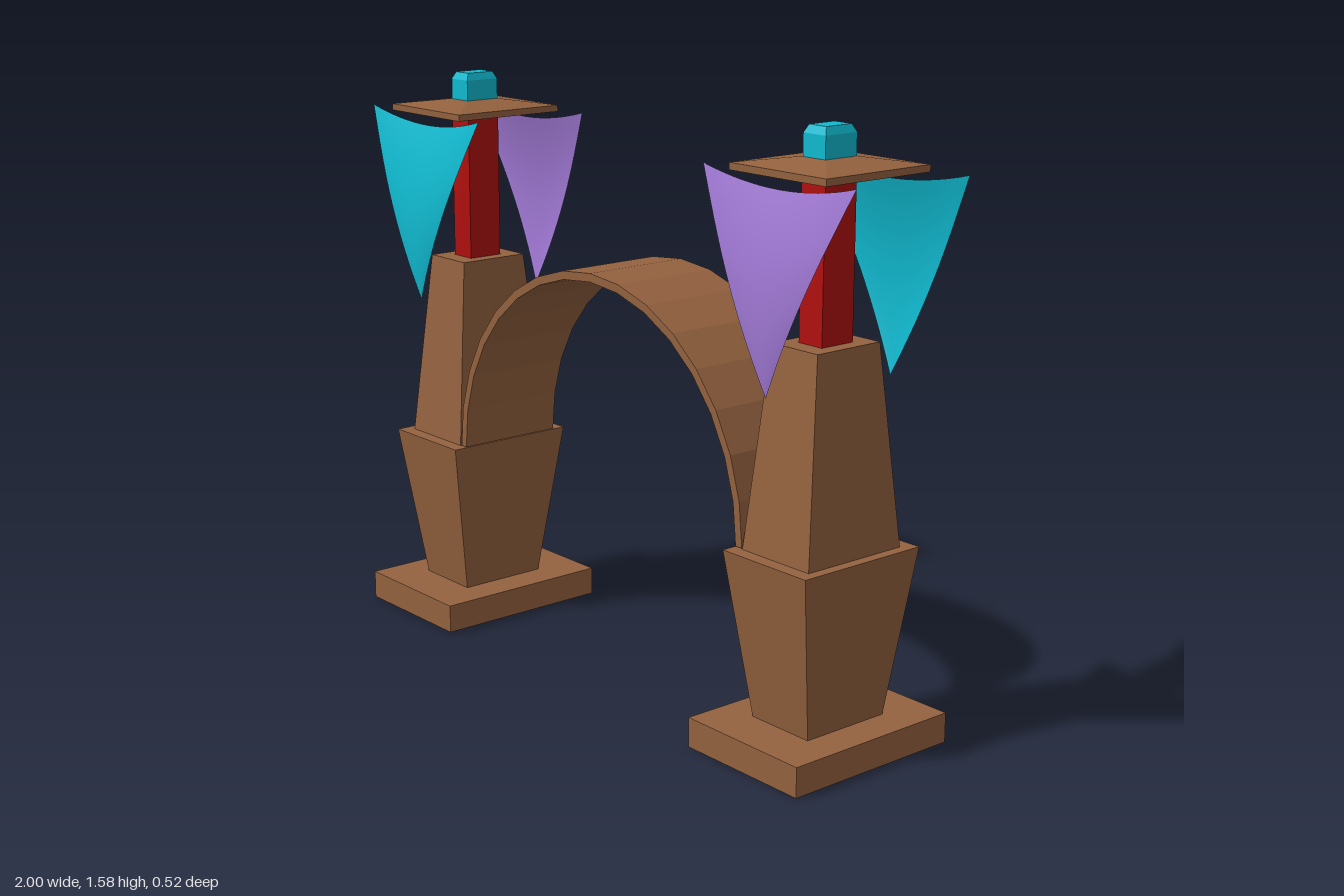
import * as THREE from 'three';

const makeMaterial = (name, color, side = THREE.FrontSide) => {
  const m = new THREE.MeshStandardMaterial({ color, side });
  m.name = name;
  return m;
};

// Box tapering from half-sizes (x0, z0) at y0 to (x1, z1) at y1
function taperedBlock(name, material, y0, y1, x0, z0, x1 = x0, z1 = z0) {
  const g = new THREE.BoxGeometry(2, y1 - y0, 2);
  const p = g.attributes.position;
  for (let i = 0; i < p.count; i++) {
    const top = p.getY(i) > 0;
    p.setX(i, p.getX(i) * (top ? x1 : x0));
    p.setZ(i, p.getZ(i) * (top ? z1 : z0));
  }
  g.translate(0, (y0 + y1) / 2, 0);
  g.computeVertexNormals();
  const mesh = new THREE.Mesh(g, material);
  mesh.name = name;
  return mesh;
}

// Triangular cloth, sagging along its top edge and billowing outwards
function banner(name, material, x, side) {
  const g = new THREE.PlaneGeometry(2, 1, 16, 16);
  const p = g.attributes.position;
  for (let i = 0; i < p.count; i++) {
    const u = p.getX(i), v = 0.5 - p.getY(i);
    const mid = 1 - u * u;
    p.setXYZ(i,
      0.26 * u * (1 - v),
      1.475 - 0.533 * v - 0.035 * mid * (1 - v) ** 3,
      0.172 + 0.036 * Math.sin(Math.PI * 0.75 * v)
        + mid * (0.01 * Math.sin(Math.PI * v) - 0.008 * (1 - v) ** 4));
  }
  g.computeVertexNormals();
  const mesh = new THREE.Mesh(g, material);
  mesh.name = name;
  mesh.position.x = x;
  if (side < 0) mesh.rotation.y = Math.PI;
  return mesh;
}

// Thin faceted half-ring between the towers
function archway(material) {
  const outer = [], inner = [], n = 16;
  for (let i = 0; i <= n; i++) {
    const a = (Math.PI * i) / n, c = Math.cos(a), s = Math.sin(a);
    outer.push(new THREE.Vector2(0.6 * c, 0.6 * s));
    inner.unshift(new THREE.Vector2(0.577 * c, 0.577 * s));
  }
  const g = new THREE.ExtrudeGeometry(new THREE.Shape([...outer, ...inner]),
    { depth: 0.314, bevelEnabled: false });
  g.translate(-0.013, 0.527, -0.157);
  const mesh = new THREE.Mesh(g, material);
  mesh.name = 'arch';
  return mesh;
}

export function createModel() {
  const wood = makeMaterial('brown wood', 0x94623f);
  const red = makeMaterial('red post', 0xb01010);
  const cyan = makeMaterial('cyan', 0x10bad0, THREE.DoubleSide);
  const purple = makeMaterial('purple', 0xa078d4, THREE.DoubleSide);

  const model = new THREE.Group();
  model.name = 'banner archway';
  model.add(archway(wood));

  const towers = [
    { name: 'rightTower', x: -0.737, front: cyan, frontX: -0.003, back: purple, backX: 0.018 },
    { name: 'leftTower', x: 0.707, front: purple, frontX: 0.002, back: cyan, backX: 0.029 },
  ];
  for (const t of towers) {
    const tower = new THREE.Group();
    tower.name = t.name;
    tower.position.x = t.x;
    tower.add(
      // Stone-like footing and two tapered pillar stages
      taperedBlock('base', wood, 0, 0.08, 0.197, 0.261),
      taperedBlock('lowerPillar', wood, 0.08, 0.525, 0.1, 0.131, 0.147, 0.196),
      taperedBlock('upperPillar', wood, 0.525, 1.05, 0.118, 0.157, 0.08, 0.105),
      taperedBlock('post', red, 1.05, 1.47, 0.04, 0.052),
      // Roof board swelling towards its middle above and below
      taperedBlock('roofUnderside', wood, 1.452, 1.468, 0.045, 0.055, 0.165, 0.172),
      taperedBlock('roofBoard', wood, 1.468, 1.486, 0.165, 0.172),
      taperedBlock('roofTop', wood, 1.486, 1.503, 0.165, 0.172, 0.045, 0.055),
      // Finial with a chamfered top
      taperedBlock('finial', cyan, 1.495, 1.56, 0.038, 0.052),
      taperedBlock('finialTop', cyan, 1.56, 1.58, 0.038, 0.052, 0.029, 0.042),
      banner('frontBanner', t.front, t.frontX, 1),
      banner('backBanner', t.back, t.backX, -1),
    );
    model.add(tower);
  }
  return model;
}
